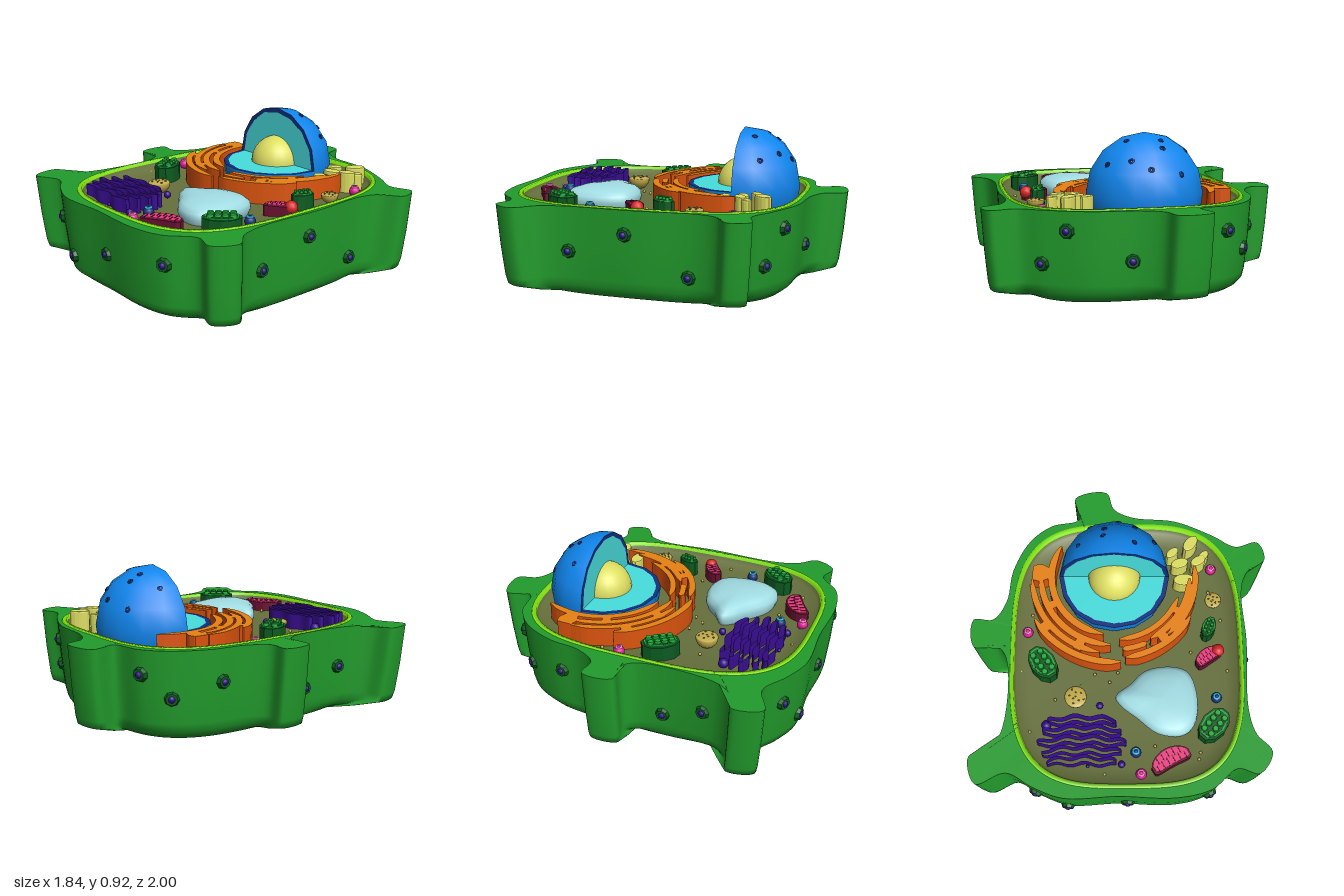
import * as THREE from 'three';

const mat = (color, extra = {}) => new THREE.MeshStandardMaterial({ color, ...extra });
const V3 = (x, y, z) => new THREE.Vector3(x, y, z);
const green = mat(0x229c2c), lime = mat(0x86ea12), olive = mat(0x66703c), navy = mat(0x12307e);
const darkGreen = mat(0x0b5a20, { flatShading: true }), leaf = mat(0x1fae3c), violet = mat(0x330c8c);
const yellow = mat(0xdede62), gold = mat(0xc4ac4c), pink = mat(0xee3a80), maroon = mat(0x6a1030);
const FLOOR = 0.46;

function add(parent, name, geometry, material, x = 0, y = 0, z = 0) {
  const mesh = new THREE.Mesh(geometry, material);
  mesh.name = name;
  mesh.position.set(x, y, z);
  parent.add(mesh);
  return mesh;
}

function group(parent, name, x = 0, y = 0, z = 0, turn = 0) {
  const g = new THREE.Group();
  g.name = name;
  g.position.set(x, y, z);
  g.rotation.y = turn;
  parent.add(g);
  return g;
}

// Skin over closed rings with equal point counts, ordered bottom, outside, top
function loft(rings) {
  const n = rings[0].length, pos = [], idx = [];
  rings.forEach(r => r.forEach(p => pos.push(p.x, p.y, p.z)));
  for (let j = 0; j < rings.length - 1; j++) for (let i = 0; i < n; i++) {
    const a = j * n + i, b = j * n + (i + 1) % n;
    idx.push(a, a + n, b, b, a + n, b + n);
  }
  const g = new THREE.BufferGeometry();
  g.setAttribute('position', new THREE.Float32BufferAttribute(pos, 3));
  g.setIndex(idx);
  g.computeVertexNormals();
  return g;
}

const closedCurve = pts => new THREE.CatmullRomCurve3(pts.map(([x, z]) => V3(x, 0, z)), true);

// Upright slab from [x, z] points
function slab(pts, height, options = {}) {
  const shape = new THREE.Shape(pts.map(([x, z]) => new THREE.Vector2(x, -z)));
  return new THREE.ExtrudeGeometry(shape, { depth: height, bevelEnabled: false, ...options }).rotateX(-Math.PI / 2);
}

const oval = (rx, rz, n) => Array.from({ length: n }, (_, i) => {
  const a = (i + 0.5) / n * Math.PI * 2;
  return [rx * Math.cos(a), rz * Math.sin(a)];
});

// Cell wall outline with its stubby arms
const outline = closedCurve([[-.29, -.96], [-.09, -1], [-.04, -.88], [.08, -.82], [.35, -.79], [.585, -.69], [.73, -.61],
  [.87, -.64], [.91, -.52], [.8, -.44], [.755, -.32], [.77, .03], [.76, .45], [.8, .61], [.89, .72], [.81, .85], [.68, .82],
  [.53, .94], [.32, .99], [-.02, .98], [-.34, .99], [-.52, .925], [-.68, .84], [-.855, .905], [-.9, .74], [-.79, .7],
  [-.71, .58], [-.7, .13], [-.77, .05], [-.9, .06], [-.91, -.12], [-.79, -.12], [-.71, -.24], [-.675, -.45],
  [-.575, -.65], [-.44, -.76], [-.26, -.81]]).getPoints(222).slice(0, -1);

// Inner rounded outline in the same directions as the outer points
const CX = 0.035, CZ = 0.08;
const inner = outline.map(p => {
  const x = p.x - CX, z = p.z - CZ;
  const k = (Math.abs(x / .71) ** 3.3 + Math.abs(z / .855) ** 3.3) ** (-1 / 3.3);
  return V3(CX + x * k, 0, CZ + z * k);
});
const ring = (y, blend, s) => outline.map((p, i) => {
  const q = p.clone().lerp(inner[i], blend);
  return V3(CX * (1 - s) + q.x * s, y, CZ * (1 - s) + q.z * s);
});

function buildWall(root) {
  const g = group(root, 'cellWall');
  add(g, 'outerWall', loft([ring(0, 1, 0), ring(0, 1, .76), ring(.015, 1, .92), ring(.04, .5, .94), ring(.075, 0, .95),
    ring(.12, 0, .962), ring(.3, 0, .982), ring(.54, 0, 1)]), green);
  add(g, 'wallRim', loft([ring(.54, 0, 1), ring(.538, 1, .995)]), green);
  add(g, 'membrane', loft([ring(.535, 1, 1), ring(.545, 1, .995), ring(.545, 1, .968), ring(.5, 1, .96)]), lime);
  add(g, 'cytoplasm', loft([ring(.53, 1, .967), ring(.5, 1, .95), ring(.475, 1, .85), ring(FLOOR, 1, .5), ring(FLOOR, 1, 0)]), olive);
  // Pores in the wall: x, height, z
  [[-.53, .365, .93], [-.32, .18, .99], [.02, .295, .98], [.53, .37, .94], [.76, .28, .43], [.77, .4, .08], [.76, .175, -.25],
    [.6, .24, -.68], [.48, .43, -.76], [.13, .26, -.81], [-.43, .4, -.77], [-.57, .27, -.65], [-.69, .35, -.36],
    [-.71, .3, .54], [-.7, .2, .3]].forEach(([x, y, z]) => {
    let best = 0;
    outline.forEach((p, i) => { if (Math.hypot(p.x - x, p.z - z) < Math.hypot(outline[best].x - x, outline[best].z - z)) best = i; });
    const n = outline.length, a = outline[(best + n - 1) % n], b = outline[(best + 1) % n];
    const s = .955 + (y - .07) * .095, p = outline[best];
    const pore = group(g, 'wallPore', CX + (p.x - CX) * s, y, CZ + (p.z - CZ) * s);
    pore.quaternion.setFromUnitVectors(V3(0, 1, 0), V3(b.z - a.z, 0, a.x - b.x).normalize());
    add(pore, 'poreCollar', new THREE.CylinderGeometry(.034, .056, .05, 8), darkGreen);
    add(pore, 'poreHole', new THREE.SphereGeometry(.024, 8, 6), violet, 0, .012, 0);
  });
}

// Three-quarter ball with cut faces and a core
function buildNucleus(root) {
  const g = group(root, 'nucleus', -.04, .58, -.39), R = .343, PI = Math.PI;
  const blue = mat(0x1086ee), cyan = mat(0x48dede);
  add(g, 'upperShell', new THREE.SphereGeometry(R, 8, 4, PI, PI, 0, PI / 2), blue);
  add(g, 'lowerShell', new THREE.SphereGeometry(R, 16, 3, 0, PI * 2, PI / 2, PI / 4), blue);
  [['back', 0, 0], ['floor', -PI / 2, PI]].forEach(([n, tilt, start]) => {
    add(g, n + 'Cut', new THREE.CircleGeometry(.318, 8, start, PI), cyan).rotation.x = tilt;
    add(g, n + 'CutRim', new THREE.RingGeometry(.314, R, 8, 1, start, PI), navy).rotation.x = tilt;
  });
  add(g, 'nucleolus', new THREE.SphereGeometry(.162, 24, 16), yellow);
  // Pores: x and z offsets on the dome
  [[-.15, -.28], [-.06, -.2], [-.065, -.135], [.13, -.24], [.125, -.09], [-.22, -.1], [.25, -.15], [.03, -.3]].forEach(([x, z]) => {
    const n = V3(x, Math.sqrt(R * R - x * x - z * z), z).normalize();
    const pore = add(g, 'nuclearPore', new THREE.TorusGeometry(.012, .006, 5, 8), navy);
    pore.position.copy(n).multiplyScalar(R * .985);
    pore.quaternion.setFromUnitVectors(V3(0, 0, 1), n);
  });
}

// Folded sheets around the nucleus: radius, start and end angle in degrees, width
function buildFolds(root) {
  const g = group(root, 'foldedSheets', -.04, FLOOR, -.39);
  const mats = [mat(0xe88212), mat(0xdc540e)];
  [[.39, 100, 212, .044], [.455, 93, 182, .042], [.51, 100, 178, .04], [.565, 86, 150, .042], [.42, 20, 86, .036],
    [.47, 2, 62, .042], [.505, -8, 50, .04], [.54, 30, 83, .04], [.485, 66, 84, .036],
    [.46, 176, 190, .1], [.43, 150, 157, .08], [.54, 138, 145, .08], [.49, 112, 119, .09], [.5, 50, 57, .09], [.45, 28, 34, .08]
  ].forEach(([r, a0, a1, w]) => {
    const n = 20, out = [], back = [];
    for (let i = 0; i <= n; i++) {
      const t = i / n, a = (a0 + (a1 - a0) * t) * Math.PI / 180;
      const h = w / 2 * Math.min(1, .25 + 6 * Math.min(t, 1 - t));
      out.push([(r + h) * Math.cos(a), (r + h) * Math.sin(a)]);
      back.unshift([(r - h) * Math.cos(a), (r - h) * Math.sin(a)]);
    }
    add(g, 'sheet', slab([...out, ...back], .13), mats);
  });
}

// Stack of wavy open-topped sacs
function buildStack(root) {
  const g = group(root, 'sacStack', -.235, FLOOR, .64);
  const skin = mat(0x3a0e96, { side: THREE.DoubleSide });
  for (let k = 0; k < 5; k++) {
    const half = .265 - .03 * Math.abs(k - 2), pts = [];
    for (let i = 0; i < 48; i++) {
      const a = i / 48 * Math.PI * 2, x = half * Math.cos(a);
      const z = (k - 2) * .062 + .02 * Math.sign(Math.sin(a)) * Math.abs(Math.sin(a)) ** .4 + .35 * x * x + .01 * Math.sin(x * 38 + k);
      pts.push(V3(x, 0, z));
    }
    pts.reverse();
    add(g, 'sac', loft([pts, pts.map(p => V3(p.x, .1, p.z))]), skin);
  }
}

function buildVacuole(root) {
  const pts = closedCurve([[-.035, .37], [.05, .3], [.14, .215], [.29, .185], [.4, .215], [.455, .34], [.445, .53],
    [.37, .61], [.22, .6], [.09, .5], [0, .43]]).getPoints(48).slice(0, -1);
  const at = (y, s) => pts.map(p => V3(.24 + (p.x - .24) * s, y, .4 + (p.z - .4) * s));
  add(root, 'vacuole', loft([at(FLOOR, .93), at(.5, 1), at(.535, .98), at(.56, .85), at(.575, .6), at(.582, .3), at(.584, 0)]), mat(0xa2dde4));
}

function buildChloroplast(root, x, z, turn, rx, rz) {
  const g = group(root, 'chloroplast', x, FLOOR, z, turn);
  add(g, 'shell', slab(oval(rx, rz, 10), .1), darkGreen);
  add(g, 'innerLine', slab(oval(rx * .87, rz * .84, 10), .108), leaf);
  add(g, 'filling', slab(oval(rx * .78, rz * .73, 10), .11), darkGreen);
  for (let i = 0; i < 8; i++) {
    const px = (Math.floor(i / 2) - 1.5) * rx * .36, pz = (i % 2 - .5) * rz * .66;
    add(g, 'disc', new THREE.CylinderGeometry(rz * .22, rz * .25, .016, 8), leaf, px, .116, pz);
  }
}

function buildMitochondrion(root, x, z, turn, rx, rz) {
  const g = group(root, 'mitochondrion', x, FLOOR, z, turn);
  const bend = (sx, sz) => oval(sx, sz, 16).map(([a, b]) => [a, Math.sign(b) * Math.abs(b / sz) ** .6 * sz + 2 * a * a - .01]);
  add(g, 'shell', slab(bend(rx, rz), .07), maroon);
  add(g, 'filling', slab(bend(rx * .9, rz * .82), .076), pink);
  for (let i = -5; i <= 5; i++) {
    const px = i * rx * .145;
    add(g, 'fold', new THREE.BoxGeometry(rx * .045, .006, rz * .75), maroon, px, .076, 2 * px * px - .01 + (i % 2 ? .3 : -.3) * rz);
  }
  return g;
}

function buildSmallParts(root) {
  // Yellow upright sacs: x, z, turn, half length, top
  [[.44, -.61, .9, .055, .6], [.37, -.48, .3, .05, .585], [.485, -.49, .5, .045, .6], [.325, -.55, .7, .04, .59],
    [.395, -.37, .05, .06, .58], [.52, -.53, .8, .035, .59]].forEach(([x, z, t, r, top]) => {
    const g = group(root, 'yellowSac', x, FLOOR, z, t);
    add(g, 'sacBody', slab(oval(r, r * .55, 14), top - FLOOR - .01,
      { bevelEnabled: true, bevelSize: .006, bevelThickness: .01, bevelSegments: 2 }), yellow);
  });
  // Golden bowls with grains
  [[-.275, .375, .068], [.575, -.25, .052]].forEach(([x, z, r]) => {
    const g = group(root, 'goldenBody', x, .525, z);
    add(g, 'bowl', new THREE.SphereGeometry(r, 16, 6, 0, Math.PI * 2, Math.PI / 2, Math.PI / 2), gold);
    add(g, 'lid', new THREE.SphereGeometry(r, 16, 4, 0, Math.PI * 2, 0, Math.PI / 2).scale(1, .2, 1), gold);
    for (let i = 0; i < 9; i++) {
      const d = r * .27 * Math.sqrt(i), a = i * 2.4;
      add(g, 'grain', new THREE.SphereGeometry(.006, 6, 4), olive, d * Math.cos(a), r * .17, d * Math.sin(a));
    }
  });
  // Ringed vesicles
  const magenta = mat(0xe0189a), rose = mat(0xff7cc0), cyan = mat(0x30c8ee);
  [[-.575, -.05, magenta, rose], [.57, -.47, magenta, rose], [.115, .84, magenta, rose],
    [.575, .375, navy, cyan], [.085, .71, navy, cyan]].forEach(([x, z, a, b]) => {
    const g = group(root, 'ringedVesicle', x, .5, z);
    add(g, 'vesicleBall', new THREE.SphereGeometry(.033, 14, 10), a);
    add(g, 'vesicleRing', new THREE.TorusGeometry(.016, .007, 6, 14).rotateX(Math.PI / 2), b, 0, .027, 0);
  });
  [[-.45, .54, .03], [-.13, .42, .022], [0, .78, .022], [-.2, .79, .01]].forEach(([x, z, r]) =>
    add(root, 'violetVesicle', new THREE.SphereGeometry(r, 12, 8), violet, x, .49, z));
  // Loose grains on the floor
  [[-.57, -.37], [-.55, -.17], [-.61, .2], [-.4, .38], [-.55, .58], [-.1, .84], [.2, .67], [.46, .75], [.47, .71], [-.07, .27],
    [-.02, .21], [-.16, .22], [.43, .08], [.62, -.13], [.65, .2], [.68, .42], [.55, -.32], [.6, .7]].forEach(([x, z]) =>
    add(root, 'grain', new THREE.SphereGeometry(.01, 8, 6), gold, x, .482, z));
}

export function createModel() {
  const root = new THREE.Group();
  root.name = 'plantCell';
  buildWall(root);
  buildNucleus(root);
  buildFolds(root);
  buildStack(root);
  buildVacuole(root);
  buildChloroplast(root, -.475, .165, -.95, .115, .078);
  buildChloroplast(root, .55, .555, .85, .115, .078);
  buildChloroplast(root, .54, -.06, 1.2, .07, .042);
  buildMitochondrion(root, .285, .755, .5, .125, .056);
  const small = buildMitochondrion(root, .535, .12, .6, .09, .045);
  add(small, 'redCap', new THREE.SphereGeometry(.04, 12, 8), mat(0xd42424), .07, .06, 0);
  buildSmallParts(root);
  return root;
}
